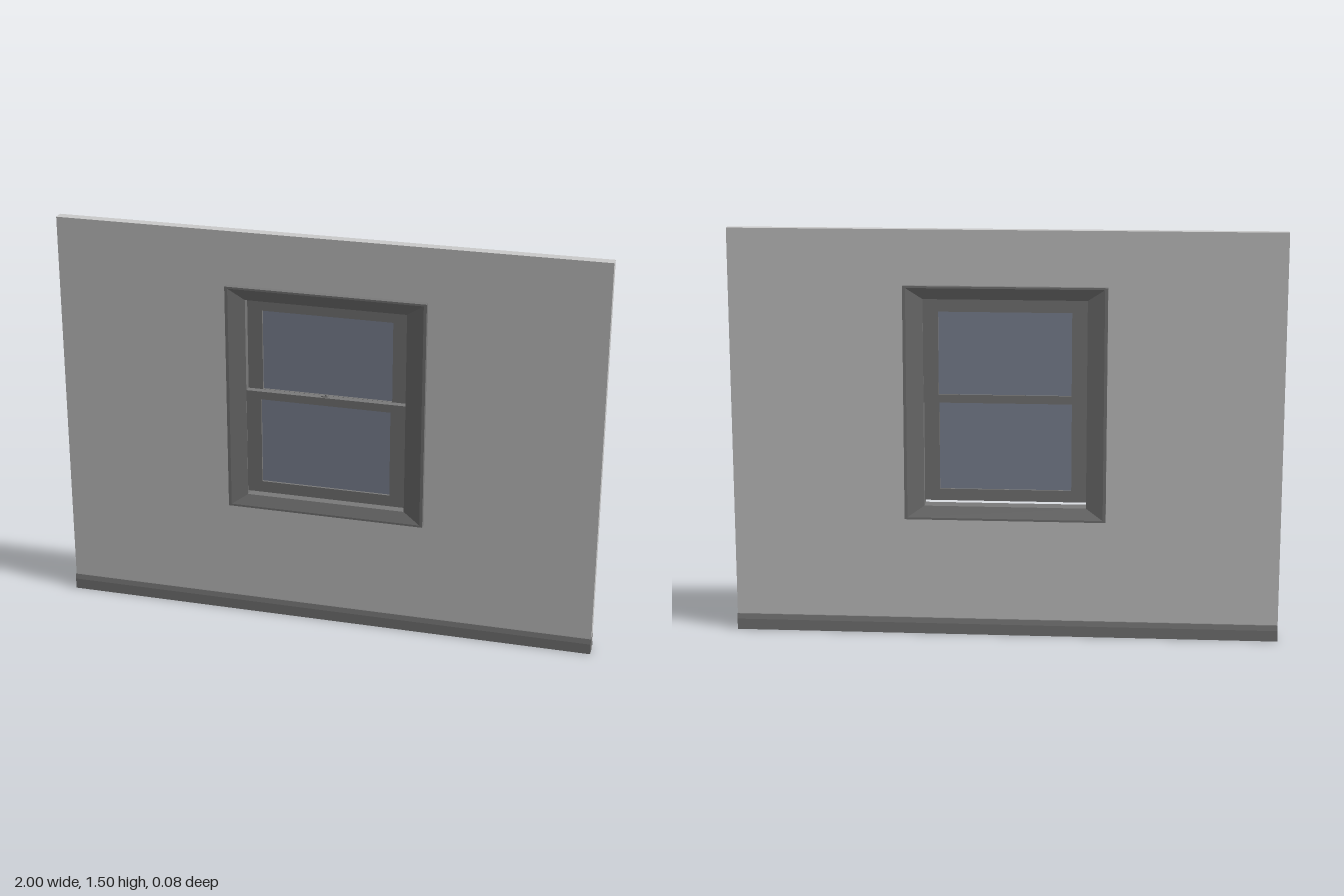
import * as THREE from 'three';

const wallMat = new THREE.MeshStandardMaterial({ color: 0xcccccc });
const trimMat = new THREE.MeshStandardMaterial({ color: 0x7a7a7a });
const glassMat = new THREE.MeshStandardMaterial({ color: 0x82899a });

function add(parent, name, geometry, material, x = 0, y = 0, z = 0) {
  const mesh = new THREE.Mesh(geometry, material);
  mesh.name = name;
  mesh.position.set(x, y, z);
  parent.add(mesh);
  return mesh;
}

// Counter-clockwise rectangle, for outlines and holes
function rect(path, x0, y0, x1, y1) {
  return path.moveTo(x0, y0).lineTo(x1, y0).lineTo(x1, y1).lineTo(x0, y1).closePath();
}

// Rectangular panel with a rectangular hole, centred on z = 0
function panelWithHole(outer, hole, depth) {
  const shape = rect(new THREE.Shape(), ...outer);
  shape.holes.push(rect(new THREE.Path(), ...hole));
  return new THREE.ExtrudeGeometry(shape, { depth, bevelEnabled: false }).translate(0, 0, -depth / 2);
}

// Mitred frame: a closed profile of [inset 0..1, z] carried round a rectangle
function mitredFrame(outer, inner, profile) {
  const rings = profile.map(([t, z]) => {
    const [x0, y0, x1, y1] = outer.map((v, i) => THREE.MathUtils.lerp(v, inner[i], t));
    return [[x0, y0, z], [x1, y0, z], [x1, y1, z], [x0, y1, z]];
  });
  const positions = [];
  rings.forEach((ring, i) => {
    const next = rings[(i + 1) % rings.length];
    for (let k = 0; k < 4; k++) {
      const n = (k + 1) % 4;
      const [a, b, c, d] = [ring[k], ring[n], next[n], next[k]];
      positions.push(...a, ...b, ...c, ...a, ...c, ...d);
    }
  });
  const geometry = new THREE.BufferGeometry();
  geometry.setAttribute('position', new THREE.Float32BufferAttribute(positions, 3));
  geometry.computeVertexNormals();
  return geometry;
}

// Sliding sash: four rails around a pane
function makeSash(name, outer, pane, z) {
  const sash = new THREE.Group();
  sash.name = name;
  sash.position.z = z;
  add(sash, name + 'Frame', panelWithHole(outer, pane, 0.025), trimMat);
  const [x0, y0, x1, y1] = pane;
  add(sash, name + 'Glass', new THREE.BoxGeometry(x1 - x0, y1 - y0, 0.008), glassMat,
    (x0 + x1) / 2, (y0 + y1) / 2, 0);
  return sash;
}

export function createModel() {
  const model = new THREE.Group();
  model.name = 'wallWithSashWindow';

  // Wall with window opening
  add(model, 'wall', panelWithHole([-1, 0, 1, 1.5], [-0.31, 0.48, 0.31, 1.26], 0.037), wallMat);

  // Skirting on both faces, thinner at the top
  const skirting = new THREE.Shape([
    [-0.027, 0], [0.027, 0], [0.027, 0.04], [0.024, 0.06], [-0.024, 0.06], [-0.027, 0.04],
  ].map(([x, y]) => new THREE.Vector2(x, y)));
  add(model, 'skirting', new THREE.ExtrudeGeometry(skirting, { depth: 2, bevelEnabled: false })
    .translate(0, 0, -1).rotateY(Math.PI / 2), trimMat);

  const windowUnit = new THREE.Group();
  windowUnit.name = 'window';
  model.add(windowUnit);

  // Casing sloping in towards the opening on both faces
  const half = [[0, 0.039], [0.15, 0.039], [1, 0.028]];
  const profile = [[0, -0.039], ...half, [1, -0.028], [0.15, -0.039]];
  add(windowUnit, 'casing',
    mitredFrame([-0.367, 0.44, 0.367, 1.3], [-0.295, 0.49, 0.295, 1.252], profile), trimMat);

  // Upper sash behind, lower sash in front and slightly raised
  windowUnit.add(
    makeSash('upperSash', [-0.296, 0.875, 0.296, 1.253], [-0.24, 0.905, 0.24, 1.207], -0.013),
    makeSash('lowerSash', [-0.296, 0.505, 0.296, 0.905], [-0.24, 0.548, 0.24, 0.875], 0.013));

  // Latch on the meeting rail
  const latch = new THREE.Group();
  latch.name = 'latch';
  latch.position.set(-0.005, 0.905, 0.013);
  add(latch, 'latchBase', new THREE.BoxGeometry(0.024, 0.004, 0.012), trimMat, 0, 0.002, 0);
  add(latch, 'latchPivot', new THREE.CylinderGeometry(0.004, 0.004, 0.005, 12), trimMat, 0.004, 0.006, 0);
  windowUnit.add(latch);

  return model;
}
